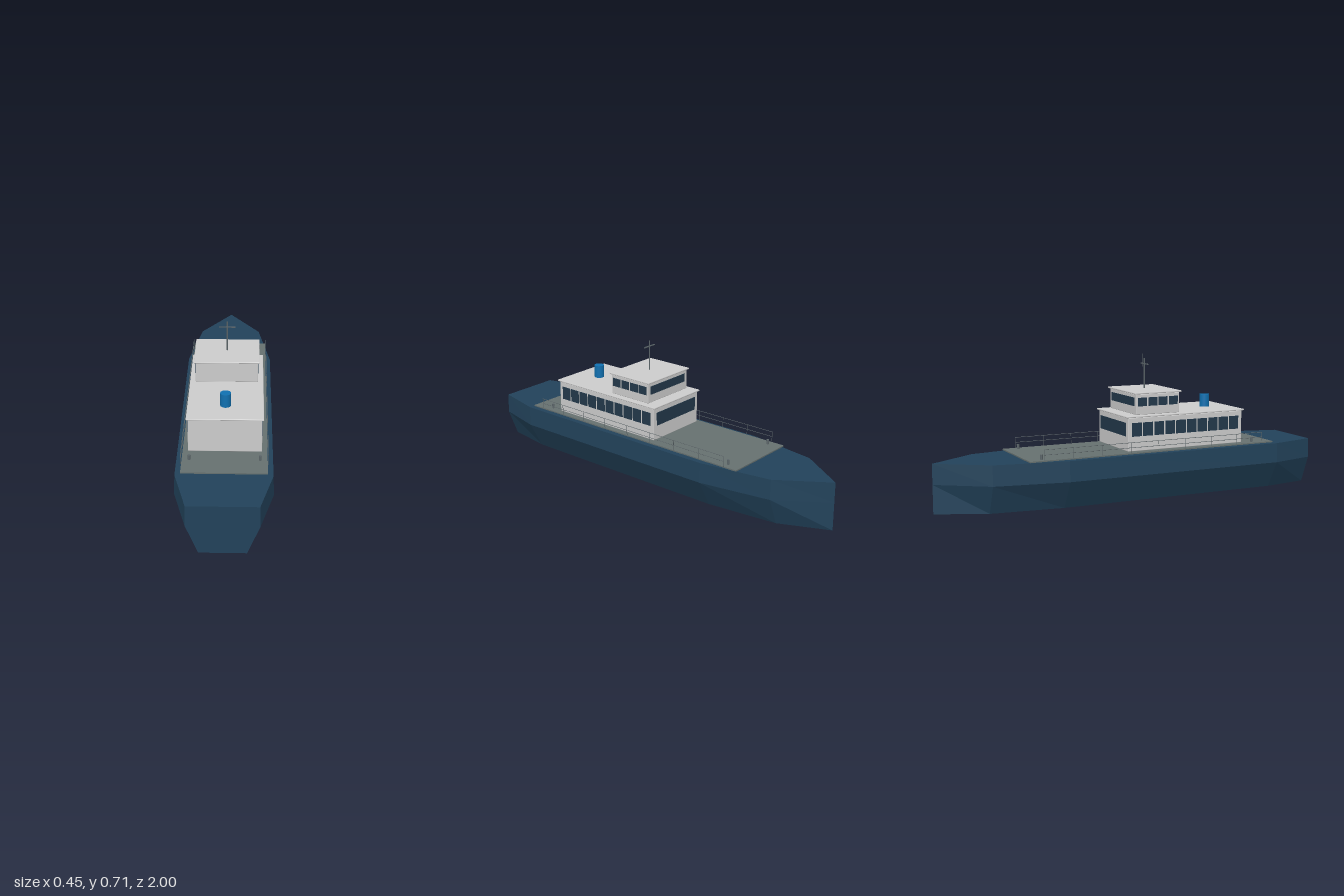
import * as THREE from 'three';
import { RoundedBoxGeometry } from 'three/addons/geometries/RoundedBoxGeometry.js';

const mat = (color, extra = {}) => new THREE.MeshStandardMaterial({ color, ...extra });

// Hull lofted through half-beam stations, stern (+z) to bow (-z)
function hullGeometry() {
  const stations = [[1, 0.162], [0.76, 0.223], [-0.4, 0.223], [-0.76, 0.163], [-1, 0]];
  const section = [[-0.985, 0.24], [-1, 0.14], [-0.653, 0], [0.653, 0], [1, 0.14], [0.985, 0.24]];
  const n = section.length;
  const positions = [], index = [];
  for (const [z, half] of stations) {
    for (const [u, y] of section) positions.push(u * half, y, z);
  }
  for (let i = 0; i < stations.length - 1; i++) {
    for (let k = 0; k < n; k++) {
      const a = i * n + k, b = i * n + (k + 1) % n;
      // The last span closes to a sharp stem
      index.push(a, a + n, b);
      if (i < stations.length - 2) index.push(b, a + n, b + n);
    }
  }
  for (let k = 1; k < n - 1; k++) index.push(0, k, k + 1);
  // The stem span needs its second triangles wherever neighbouring levels differ
  const last = (stations.length - 2) * n;
  for (let k = 0; k < n; k++) {
    const b = last + (k + 1) % n;
    if (section[k][1] !== section[(k + 1) % n][1]) index.push(b, last + k + n, b + n);
  }
  const g = new THREE.BufferGeometry();
  g.setAttribute('position', new THREE.Float32BufferAttribute(positions, 3));
  g.setIndex(index);
  const flat = g.toNonIndexed();
  flat.computeVertexNormals();
  return flat;
}

export function createModel() {
  const model = new THREE.Group();
  model.name = 'passengerBoat';

  const grey = mat(0xcccccc);
  const hullMat = mat(0x22425a, { flatShading: true });
  const deckMat = mat(0x66706f);
  const glass = mat(0x22384a);
  const blue = mat(0x1070b0);
  const metal = mat(0x5c666a);

  const add = (name, geometry, material, x, y, z, parent = model) => {
    const m = new THREE.Mesh(geometry, material);
    m.name = name;
    m.position.set(x, y, z);
    parent.add(m);
    return m;
  };
  // Box given by half-width and its y and z extents
  const block = (name, material, half, y0, y1, z0, z1, r, parent) =>
    add(name, new RoundedBoxGeometry(half * 2, y1 - y0, z1 - z0, 2, r), material,
      0, (y0 + y1) / 2, (z0 + z1) / 2, parent);

  add('hull', hullGeometry(), hullMat, 0, 0, 0);
  add('deck', new THREE.BoxGeometry(0.39, 0.006, 1.34), deckMat, 0, 0.245, 0.08);

  // A cabin: walls, overhanging roof, side windows and one wide bow window
  function cabin(name, c) {
    const g = new THREE.Group();
    g.name = name;
    model.add(g);
    block(name + 'Walls', grey, c.half, c.y0, c.y1, c.z0, c.z1, 0.003, g);
    block(name + 'Roof', grey, c.half + 0.007, c.y1 + 0.001, c.y1 + 0.009,
      c.z0 - 0.01, c.z1 + 0.01, 0.003, g);
    const wy = (c.w0 + c.w1) / 2, wh = c.w1 - c.w0;
    const pitch = (c.wz1 - c.wz0) / c.count;
    const pane = new THREE.BoxGeometry(0.005, wh, pitch - 0.008);
    for (const s of [-1, 1]) {
      for (let i = 0; i < c.count; i++) {
        add(name + 'SideWindow', pane, glass, s * c.half, wy, c.wz0 + pitch * (i + 0.5), g);
      }
    }
    add(name + 'BowWindow', new THREE.BoxGeometry(c.half * 1.74, wh, 0.005), glass, 0, wy, c.z0, g);
  }
  cabin('deckhouse', {
    half: 0.17, y0: 0.251, y1: 0.416, z0: -0.073, z1: 0.573,
    w0: 0.324, w1: 0.391, wz0: -0.056, wz1: 0.556, count: 10,
  });
  cabin('wheelhouse', {
    half: 0.15, y0: 0.426, y1: 0.527, z0: -0.02, z1: 0.22,
    w0: 0.468, w1: 0.51, wz0: -0.014, wz1: 0.214, count: 4,
  });

  add('funnel', new THREE.CylinderGeometry(0.025, 0.025, 0.065, 24), blue, 0, 0.457, 0.45);

  // Mast with crossbar and whip antenna
  add('mast', new THREE.CylinderGeometry(0.003, 0.003, 0.152, 10), metal, 0, 0.614, 0.1);
  add('crossbar', new THREE.BoxGeometry(0.08, 0.005, 0.005), metal, 0, 0.661, 0.1);
  add('antenna', new THREE.CylinderGeometry(0.001, 0.001, 0.064, 6), metal, 0.018, 0.678, 0.1);

  // Side railings: nine posts and two rails each
  const post = new THREE.CylinderGeometry(0.0013, 0.0013, 0.052, 6);
  const rail = new THREE.CylinderGeometry(0.0013, 0.0013, 1.2, 6).rotateX(Math.PI / 2);
  const bollard = new THREE.CylinderGeometry(0.0065, 0.0065, 0.024, 12);
  for (const s of [-1, 1]) {
    const g = new THREE.Group();
    g.name = s > 0 ? 'leftRailing' : 'rightRailing';
    model.add(g);
    for (let i = 0; i < 9; i++) add('railPost', post, metal, s * 0.197, 0.275, -0.52 + i * 0.15, g);
    for (const y of [0.275, 0.3]) add('rail', rail, metal, s * 0.197, y, 0.08, g);
    for (const z of [-0.52, 0.64]) add('bollard', bollard, metal, s * 0.161, 0.26, z);
  }
  return model;
}
